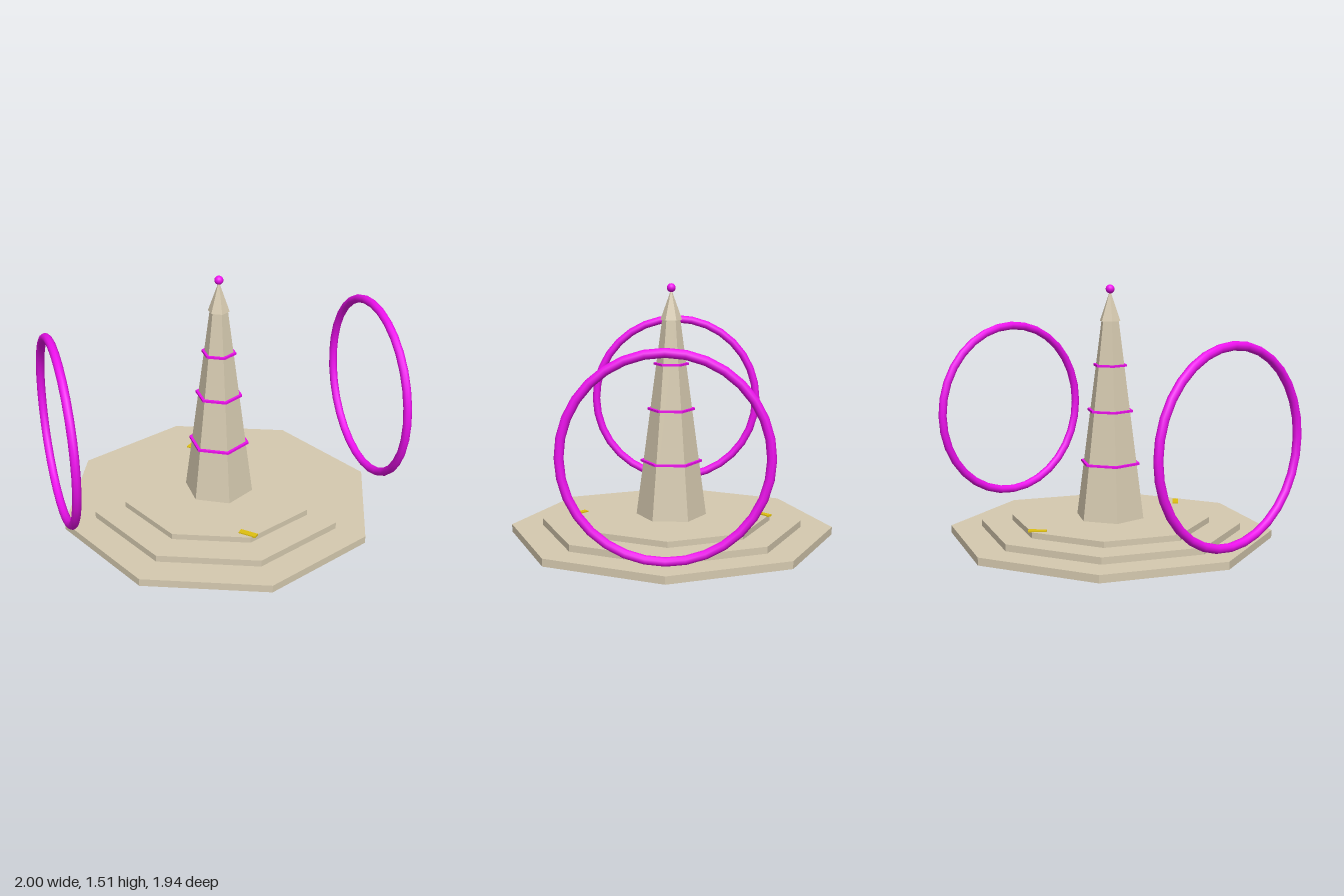
import * as THREE from 'three';

const stone = new THREE.MeshStandardMaterial({ color: 0xd6cab0, flatShading: true });
const magenta = new THREE.MeshStandardMaterial({ color: 0xee11ee });
const magentaFlat = new THREE.MeshStandardMaterial({ color: 0xee11ee, flatShading: true });
const gold = new THREE.MeshStandardMaterial({ color: 0xe0c010 });

export function createModel() {
  const model = new THREE.Group();
  model.name = 'monument';

  const add = (name, geometry, material, x, y, z) => {
    const mesh = new THREE.Mesh(geometry, material);
    mesh.name = name;
    mesh.position.set(x, y, z);
    model.add(mesh);
    return mesh;
  };

  // Upright prism or frustum standing between two heights
  const prism = (name, rTop, rBottom, y0, y1, sides, material) =>
    add(name, new THREE.CylinderGeometry(rTop, rBottom, y1 - y0, sides), material, 0, (y0 + y1) / 2, 0);

  // Stepped octagonal base
  [[0.97, 0, 0.045], [0.782, 0.045, 0.085], [0.595, 0.085, 0.12]].forEach(([r, y0, y1], i) =>
    prism(`baseStep${i + 1}`, r, r, y0, y1, 8, stone));

  // Tapered hexagonal spire with an overhanging pointed cap
  prism('spire', 0.054, 0.21, 0.12, 1.295, 6, stone);
  prism('spireCap', 0, 0.064, 1.295, 1.475, 6, stone);

  // Hexagonal bands round the spire
  [[0.184, 0.45], [0.142, 0.765], [0.104, 1.035]].forEach(([r, y], i) =>
    prism(`spireBand${i + 1}`, r, r, y - 0.0065, y + 0.0065, 6, magentaFlat));

  // Ball on the tip
  add('finial', new THREE.SphereGeometry(0.026, 16, 12), magenta, 0, 1.482, 0);

  // Large upright hoops at both sides
  for (const side of [-1, 1]) {
    const hoop = add(side > 0 ? 'leftHoop' : 'rightHoop',
      new THREE.TorusGeometry(0.545, 0.0255, 10, 32), magenta, side * 0.9745, 0.67, 0);
    hoop.rotation.y = Math.PI / 2;
  }

  // Slanted floor markers, front and back
  for (const side of [-1, 1]) {
    const marker = add(side > 0 ? 'frontMarker' : 'backMarker',
      new THREE.BoxGeometry(0.107, 0.01, 0.036), gold, 0, 0.122, side * 0.555);
    marker.rotation.y = -side * Math.PI / 4;
  }

  return model;
}
